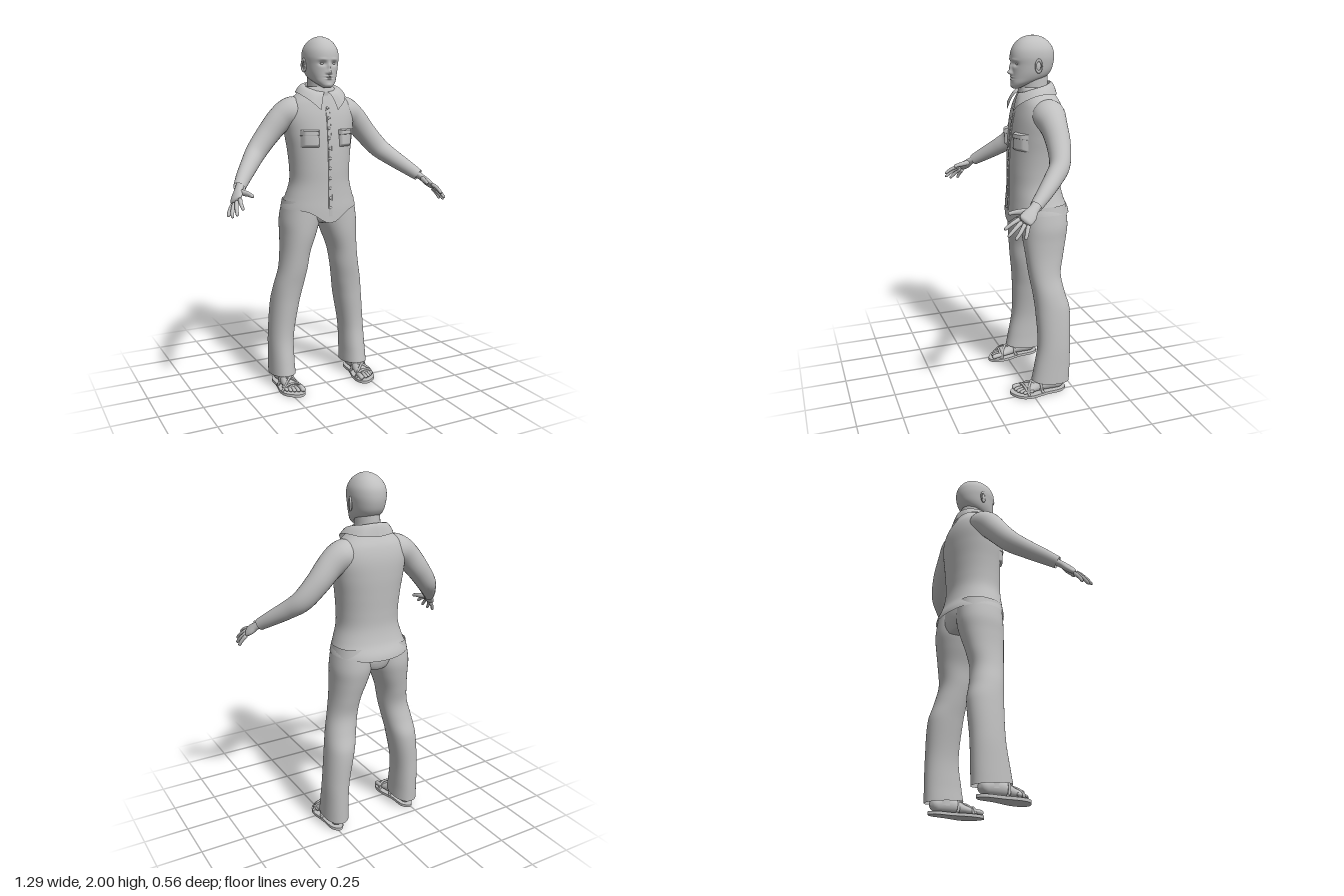
import * as THREE from 'three';

const V = (x, y, z) => new THREE.Vector3(x, y, z);

// Smooth lookup in a table of rows [key, value, value, ...]
function at(table, k) {
  const n = table.length;
  let i = 0;
  while (i < n - 2 && k > table[i + 1][0]) i++;
  const a = table[i], b = table[i + 1], h = b[0] - a[0];
  const p = table[Math.max(0, i - 1)], q = table[Math.min(n - 1, i + 2)];
  const t = THREE.MathUtils.clamp((k - a[0]) / h, 0, 1), t2 = t * t, t3 = t2 * t;
  return a.slice(1).map((_, c) => {
    const j = c + 1;
    const m0 = (b[j] - p[j]) / (b[0] - p[0]) * h, m1 = (q[j] - a[j]) / (q[0] - a[0]) * h;
    return (2 * t3 - 3 * t2 + 1) * a[j] + (t3 - 2 * t2 + t) * m0 + (3 * t2 - 2 * t3) * b[j] + (t3 - t2) * m1;
  });
}
const indexed = rows => rows.map((r, i) => [i, ...r]);

// Grid surface from fn(u, v) -> Vector3; closed wraps round in u
function surface(fn, nu, nv, closed = true) {
  const pos = [], idx = [], w = closed ? nu : nu + 1;
  for (let j = 0; j <= nv; j++) for (let i = 0; i < w; i++) pos.push(...fn(i / nu, j / nv).toArray());
  for (let j = 0; j < nv; j++) for (let i = 0; i < nu; i++) {
    const a = j * w + i, b = j * w + (i + 1) % w;
    idx.push(a, b, a + w, b, b + w, a + w);
  }
  const g = new THREE.BufferGeometry();
  g.setAttribute('position', new THREE.Float32BufferAttribute(pos, 3));
  g.setIndex(idx);
  g.computeVertexNormals();
  return g;
}

// Rounded horizontal section; angle 0 faces the front
function section(ang, cx, y, rx, zf, zb, e = 0.92) {
  const s = Math.sin(ang), c = Math.cos(ang), pw = q => Math.sign(q) * Math.abs(q) ** e;
  return V(cx + rx * pw(s), y, (zf + zb) / 2 + (zf - zb) / 2 * pw(c));
}

// Limb along a path; rows are x, y, z, radius, radius; ends can be rounded
function limb(rows, { ref = V(0, 0, 1), nu = 24, nv = 30, cap0 = 0, cap1 = 0 } = {}) {
  const tab = indexed(rows), n = rows.length - 1;
  return surface((u, v) => {
    const k = v * n, [x, y, z, a, b] = at(tab, k);
    const t = V(...at(tab, Math.min(n, k + 0.02))).sub(V(...at(tab, Math.max(0, k - 0.02)))).normalize();
    const side = ref.clone().cross(t).normalize(), up = t.clone().cross(side);
    let f = 1;
    if (cap0 && v < cap0) f *= Math.sqrt(Math.max(0, 1 - (1 - v / cap0) ** 2));
    if (cap1 && v > 1 - cap1) f *= Math.sqrt(Math.max(0, 1 - (1 - (1 - v) / cap1) ** 2));
    const g = u * Math.PI * 2;
    return V(x, y, z).addScaledVector(side, a * f * Math.cos(g)).addScaledVector(up, b * f * Math.sin(g));
  }, nu, nv);
}

function mirrored(geo) {
  const g = geo.clone().scale(-1, 1, 1);
  if (!g.index) g.setIndex([...Array(g.attributes.position.count).keys()]);
  const a = g.index.array;
  for (let i = 0; i < a.length; i += 3) [a[i], a[i + 1]] = [a[i + 1], a[i]];
  g.computeVertexNormals();
  return g;
}

// y, half width, front z, back z
const SHIRT = [
  [0.95, 0.232, 0.062, -0.285], [1.05, 0.222, 0.06, -0.278], [1.12, 0.198, 0.056, -0.25],
  [1.2, 0.175, 0.054, -0.234], [1.28, 0.174, 0.054, -0.234], [1.38, 0.184, 0.05, -0.24],
  [1.48, 0.2, 0.042, -0.245], [1.57, 0.208, 0.028, -0.242], [1.64, 0.182, 0.01, -0.226],
  [1.69, 0.125, -0.005, -0.2], [1.73, 0.075, -0.015, -0.18]];
const shirtFront = (x, y) => {
  const [rx, zf, zb] = at(SHIRT, y), s = Math.min(1, Math.abs(x) / rx) ** (1 / 0.92);
  return (zf + zb) / 2 + (zf - zb) / 2 * Math.sqrt(1 - s * s) ** 0.92;
};

// y, half width, front z, back z from chin to crown
const HEAD = indexed([
  [1.722, 0, 0.018, 0.0], [1.724, 0.02, 0.03, -0.01], [1.735, 0.037, 0.037, -0.03], [1.755, 0.058, 0.039, -0.085],
  [1.78, 0.074, 0.038, -0.15], [1.81, 0.085, 0.037, -0.18], [1.85, 0.092, 0.038, -0.195], [1.89, 0.096, 0.041, -0.199],
  [1.93, 0.09, 0.032, -0.192], [1.965, 0.07, 0.008, -0.168], [1.988, 0.042, -0.025, -0.135],
  [1.998, 0.018, -0.058, -0.102], [2, 0, -0.08, -0.08]]);
// x, y, spread x, spread y, depth: nose, bridge, sockets, brow, lips, chin
const FACE = [
  [0, 1.808, 0.011, 0.012, 0.02], [0, 1.835, 0.009, 0.024, 0.012], [0.013, 1.803, 0.007, 0.008, 0.007],
  [-0.013, 1.803, 0.007, 0.008, 0.007], [0.034, 1.853, 0.018, 0.011, -0.013], [-0.034, 1.853, 0.018, 0.011, -0.013],
  [0.034, 1.875, 0.025, 0.007, 0.004], [-0.034, 1.875, 0.025, 0.007, 0.004], [0, 1.785, 0.019, 0.004, 0.007],
  [0, 1.778, 0.022, 0.0025, -0.004], [0, 1.77, 0.017, 0.004, 0.006], [0, 1.738, 0.018, 0.01, 0.004]];

// y, centre x, half width, front z, back z of a trouser leg
const LEG = [
  [0.07, 0.235, 0.072, -0.002, -0.228], [0.15, 0.235, 0.07, -0.018, -0.23], [0.3, 0.23, 0.071, -0.042, -0.232],
  [0.5, 0.204, 0.081, -0.036, -0.234], [0.6, 0.186, 0.084, -0.026, -0.208], [0.7, 0.165, 0.082, -0.01, -0.192],
  [0.8, 0.15, 0.084, 0.002, -0.21], [0.9, 0.13, 0.1, 0.013, -0.232], [0.98, 0.118, 0.112, 0.016, -0.244],
  [1.1, 0.105, 0.105, 0.016, -0.235]];

export function createModel() {
  const model = new THREE.Group();
  const grey = new THREE.MeshStandardMaterial({ color: 0xc0c0c0, side: THREE.DoubleSide });
  grey.name = 'plainGrey';
  const add = (name, geo) => {
    const m = new THREE.Mesh(geo, grey);
    m.name = name;
    model.add(m);
  };
  const pair = (name, geo) => {
    add('left' + name, geo);
    add('right' + name, mirrored(geo));
  };
  const ball = (x, y, z, a, b, c, n = 16) => new THREE.SphereGeometry(1, n, n / 2 + 4).scale(a, b, c).translate(x, y, z);
  const TAU = Math.PI * 2;

  // Head, neck, eyes and ears
  add('head', surface((u, v) => {
    const [y, rx, zf, zb] = at(HEAD, v * (HEAD.length - 1));
    const p = section(u * TAU, 0, y, Math.max(0, rx), zf, zb);
    if (Math.cos(u * TAU) > 0)
      for (const [fx, fy, sx, sy, d] of FACE) p.z += d * Math.exp(-(((p.x - fx) / sx) ** 2) - ((y - fy) / sy) ** 2);
    return p;
  }, 128, 110));
  add('neck', limb([[0, 1.6, -0.1, 0.085, 0.08], [0, 1.7, -0.095, 0.068, 0.075], [0, 1.8, -0.085, 0.064, 0.08]]));
  pair('Eye', ball(0.034, 1.853, 0.014, 0.013, 0.007, 0.011));
  pair('EarRim', new THREE.TorusGeometry(0.02, 0.006, 8, 24).scale(0.8, 1.5, 1).rotateY(Math.PI / 2 - 0.35).translate(0.097, 1.845, -0.082));
  pair('Ear', ball(0.092, 1.842, -0.08, 0.008, 0.028, 0.015));

  // Shirt body with a dipped hem
  add('shirt', surface((u, v) => {
    const a = u * TAU, x = Math.sin(a) * 0.22;
    const hem = Math.cos(a) > 0 ? 1.053 - 0.075 * Math.exp(-((x / 0.085) ** 2)) : 1.053 - 0.02 * Math.cos(a) ** 2;
    const y = hem + (1.73 - hem) * v;
    return section(a, 0, y, ...at(SHIRT, y));
  }, 64, 60));
  pair('Sleeve', limb([
    [0.1, 1.6, -0.112, 0.085, 0.085], [0.17, 1.587, -0.114, 0.09, 0.082], [0.235, 1.545, -0.116, 0.073, 0.072],
    [0.31, 1.462, -0.114, 0.063, 0.064], [0.385, 1.376, -0.09, 0.054, 0.058], [0.44, 1.322, -0.035, 0.048, 0.05],
    [0.5, 1.268, 0.035, 0.04, 0.042], [0.55, 1.22, 0.1, 0.031, 0.033]], { nv: 50, cap0: 0.1, ref: V(0.6, 0.7, 0.2) }));

  // Collar folded over from the neck, pointed at the front
  const collarTop = a => V(0.074 * Math.sin(a), 1.728 - 0.027 * Math.cos(a), -0.092 + 0.09 * Math.cos(a));
  const FALL = [[0.12, 0.05, 1.603, 0.046], [0.55, 0.095, 1.645, 0.028], [1.1, 0.135, 1.685, -0.035], [1.7, 0.137, 1.7, -0.11],
    [2.4, 0.092, 1.693, -0.187], [Math.PI, 0, 1.688, -0.212]];
  pair('Collar', surface((u, v) => {
    const a = 0.12 + u * (Math.PI - 0.12);
    const p = collarTop(a).lerp(V(...at(FALL, a)), v);
    p.y += 0.02 * Math.sin(v * Math.PI);
    return p;
  }, 40, 8, false));
  add('collarStand', surface((u, v) => {
    const p = collarTop(u * TAU);
    p.y -= 0.07 * (1 - v);
    return p;
  }, 40, 2));

  // Button strip, buttons and chest pockets laid on the shirt front
  const patch = (x0, x1, y0, y1, depth) => surface((u, v) => {
    const x = x0 + (x1 - x0) * u, y = y0 + (y1 - y0) * v;
    const edge = Math.min(1, 7 * Math.min(u, 1 - u, v, 1 - v));
    return V(x, y, shirtFront(x, y) - 0.002 + depth * edge);
  }, 16, 20, false);
  add('buttonStrip', patch(-0.014, 0.012, 0.985, 1.66, 0.006));
  for (let i = 0; i < 11; i++) {
    const y = 1.065 + i * 0.055;
    add('button' + (i + 1), ball(-0.004, y, shirtFront(0, y) + 0.006, 0.008, 0.008, 0.006, 12));
  }
  pair('Pocket', patch(0.06, 0.155, 1.4, 1.49, 0.02));
  pair('PocketFlap', patch(0.058, 0.157, 1.465, 1.497, 0.026));

  // Hands: palm, four fingers and thumb
  const across = V(0.25, -0.2, -0.9);
  pair('Palm', limb([[0.535, 1.235, 0.08, 0.02, 0.026], [0.562, 1.208, 0.118, 0.018, 0.027], [0.58, 1.185, 0.145, 0.018, 0.037],
    [0.598, 1.163, 0.178, 0.013, 0.036]], { ref: across, cap1: 0.12 }));
  const fingers = [
    [[0.58, 1.178, 0.192], [0.59, 1.16, 0.235], [0.592, 1.133, 0.277]],
    [[0.594, 1.168, 0.185], [0.612, 1.137, 0.23], [0.621, 1.104, 0.268]],
    [[0.602, 1.158, 0.173], [0.625, 1.122, 0.205], [0.636, 1.09, 0.235]],
    [[0.606, 1.15, 0.158], [0.63, 1.117, 0.174], [0.642, 1.088, 0.186]]];
  fingers.forEach((f, i) => pair('Finger' + (i + 1), limb(
    f.map((p, k) => [...p, 0.0115 - 0.0018 * k, 0.0115 - 0.0018 * k]), { ref: V(1, 0.3, 0), nu: 12, nv: 16, cap0: 0.1, cap1: 0.14 })));
  pair('Thumb', limb([[0.562, 1.205, 0.125, 0.015, 0.015], [0.543, 1.2, 0.165, 0.015, 0.014], [0.532, 1.197, 0.2, 0.012, 0.011],
    [0.524, 1.19, 0.235, 0.009, 0.009]], { ref: V(1, 0, 0), nu: 14, cap0: 0.1, cap1: 0.1 }));

  // Trousers: seat and flared legs
  add('trouserSeat', limb([[0, 0.95, -0.11, 0.07, 0.1], [0, 1.0, -0.113, 0.17, 0.122], [0, 1.06, -0.113, 0.205, 0.125],
    [0, 1.14, -0.1, 0.185, 0.12]], { cap0: 0.15, nu: 40 }));
  pair('TrouserLeg', surface((u, v) => {
    const y = 0.07 + 1.03 * v + 0.012 * (1 - v) * Math.cos(u * TAU);
    const [cx, ...r] = at(LEG, y), p = section(u * TAU, cx, y, ...r);
    p.x = Math.max(p.x, 0);
    return p;
  }, 40, 60));

  // Sandal sole, drawn with its length along the shape's y and laid flat
  const outline = [[0.185, 0.105], [0.21, 0.12], [0.25, 0.105], [0.287, 0.07], [0.3, 0.02], [0.285, -0.08], [0.275, -0.175],
    [0.24, -0.207], [0.205, -0.175], [0.195, -0.08], [0.172, 0.01], [0.17, 0.07]];
  const curve = new THREE.CatmullRomCurve3(outline.map(([x, z]) => V(x, -z, 0)), true);
  const sole = new THREE.Shape(curve.getPoints(60).map(p => new THREE.Vector2(p.x, p.y)));
  pair('Sole', new THREE.ExtrudeGeometry(sole, { depth: 0.016, bevelEnabled: false }).rotateX(-Math.PI / 2));

  // Foot, ankle and toes
  pair('Foot', limb([[0.24, 0.045, -0.195, 0.034, 0.034], [0.24, 0.058, -0.14, 0.037, 0.045], [0.238, 0.058, -0.07, 0.039, 0.044],
    [0.235, 0.044, -0.01, 0.045, 0.031], [0.232, 0.033, 0.055, 0.05, 0.02]], { ref: V(0, 1, 0), cap0: 0.15, cap1: 0.1 }));
  pair('Ankle', limb([[0.238, 0.05, -0.115, 0.04, 0.052], [0.238, 0.2, -0.125, 0.038, 0.045]]));
  [[0.191, 0.104, 0.0145], [0.219, 0.1, 0.011], [0.24, 0.092, 0.0105], [0.259, 0.08, 0.01], [0.276, 0.064, 0.0095]].forEach(([x, z, r], i) =>
    pair('Toe' + (i + 1), limb([[x + 0.003, 0.034, z - 0.065, r, r], [x, 0.034, z - 0.03, r, r], [x, 0.027, z, r * 1.05, r * 0.85]],
      { ref: V(0, 1, 0), nu: 12, nv: 16, cap0: 0.1, cap1: 0.2 })));

  // Crossed sandal straps
  const straps = [
    [[0.178, 0.016, 0.04], [0.205, 0.057, 0.03], [0.245, 0.075, -0.005], [0.287, 0.016, -0.06]],
    [[0.295, 0.016, 0.035], [0.268, 0.055, 0.028], [0.228, 0.075, -0.005], [0.19, 0.016, -0.06]],
    [[0.176, 0.016, 0.05], [0.205, 0.055, 0.052], [0.26, 0.054, 0.046], [0.294, 0.016, 0.03]],
    [[0.193, 0.02, -0.05], [0.205, 0.08, -0.04], [0.24, 0.1, -0.03], [0.272, 0.08, -0.04], [0.286, 0.02, -0.05]]];
  straps.forEach((s, i) => pair('Strap' + (i + 1), new THREE.TubeGeometry(
    new THREE.CatmullRomCurve3(s.map(p => V(...p))), 24, 0.007, 8)));

  return model;
}
